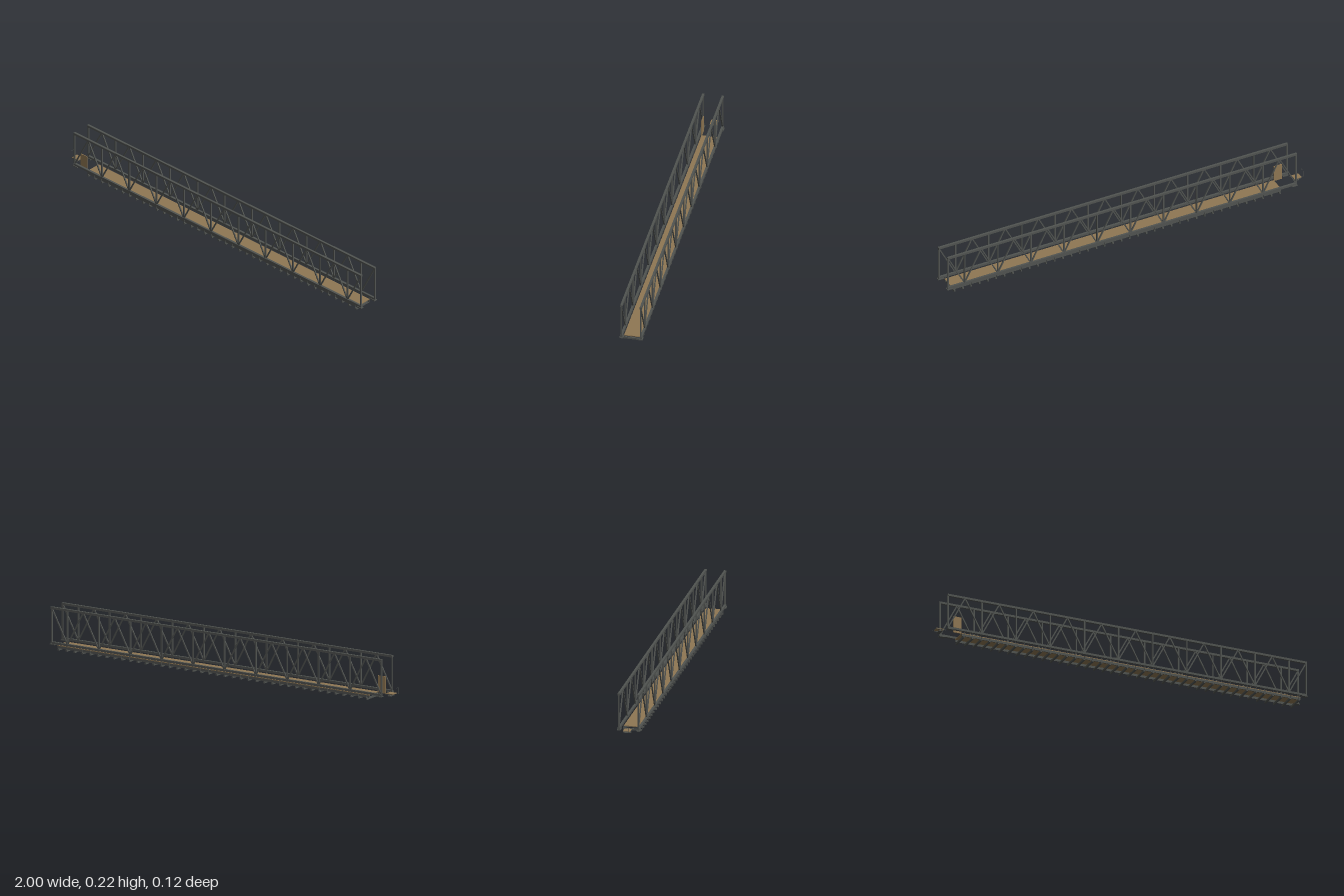
import * as THREE from 'three';

export function createModel() {
  const model = new THREE.Group();
  const steel = new THREE.MeshStandardMaterial({ color: 0x505350 });
  const wood = new THREE.MeshStandardMaterial({ color: 0x8f7753 });

  // Box given by its min and max corners
  function box(name, [x0, y0, z0], [x1, y1, z1], mat = steel, parent = model) {
    const mesh = new THREE.Mesh(new THREE.BoxGeometry(x1 - x0, y1 - y0, z1 - z0), mat);
    mesh.position.set((x0 + x1) / 2, (y0 + y1) / 2, (z0 + z1) / 2);
    mesh.name = name;
    parent.add(mesh);
    return mesh;
  }

  // Square bar in the xy plane between two points
  function bar(name, xa, ya, xb, yb, z, size, parent) {
    const mesh = new THREE.Mesh(
      new THREE.BoxGeometry(Math.hypot(xb - xa, yb - ya), size, size), steel);
    mesh.position.set((xa + xb) / 2, (ya + yb) / 2, z);
    mesh.rotation.z = Math.atan2(yb - ya, xb - xa);
    mesh.name = name;
    parent.add(mesh);
  }

  // Side trusses
  const start = -0.94, end = 0.993, bays = 21;
  const step = (end - start) / bays;
  const low = 0.036, high = 0.212;
  for (const side of [1, -1]) {
    const truss = new THREE.Group();
    truss.name = side > 0 ? 'frontTruss' : 'backTruss';
    model.add(truss);
    const z = side * 0.049;
    box('topChord', [start - 0.003, 0.207, z - 0.0055], [end + 0.003, 0.218, z + 0.0055], steel, truss);
    box('bottomChord', [start - 0.003, 0.03, z - 0.0055], [end + 0.003, 0.041, z + 0.0055], steel, truss);
    // Posts stand on the lower joints and at both ends
    for (let i = 0; i <= bays; i++) {
      const x = start + i * step;
      if (i % 2 === 0 || i === bays) bar('post', x, low, x, high, z, 0.007, truss);
      if (i < bays) {
        const rising = i % 2 === 0;
        bar('diagonal', x, rising ? low : high, x + step, rising ? high : low, z, 0.006, truss);
      }
    }
    // Bearing plates under the chord ends
    for (const x of [-0.93, 0.985]) {
      box('bearingPlate', [x - 0.015, 0.026, z - 0.009], [x + 0.015, 0.031, z + 0.009], steel, truss);
    }
  }

  // Walkway deck on two stringers
  const deckStart = -0.862, deckEnd = 0.965;
  box('deck', [deckStart, 0.021, -0.041], [deckEnd, 0.025, 0.041], wood);
  for (const z of [-0.039, 0.039]) {
    box('stringer', [deckStart, 0.009, z - 0.002], [deckEnd, 0.0215, z + 0.002]);
  }

  // Cross beams hung from the bottom chords
  const beams = 40;
  for (let i = 0; i < beams; i++) {
    const x = -0.852 + (i / (beams - 1)) * 1.807;
    box('crossBeam', [x - 0.004, 0, -0.048], [x + 0.004, 0.009, 0.048]);
    for (const z of [-0.048, 0.048]) {
      box('hanger', [x - 0.001, 0.006, z - 0.001], [x + 0.001, 0.031, z + 0.001]);
    }
  }

  // Upright board beside the entrance
  box('sideBoard', [-0.908, 0.02, 0.039], [-0.863, 0.107, 0.043], wood);

  // Small end step with its frame
  const endStep = new THREE.Group();
  endStep.name = 'endStep';
  model.add(endStep);
  box('stepBoard', [-0.987, 0.037, -0.018], [-0.948, 0.04, 0.018], wood, endStep);
  for (const z of [-0.017, 0.017]) {
    box('stepRail', [-0.985, 0.034, z - 0.0015], [-0.94, 0.037, z + 0.0015], steel, endStep);
    box('stepLeg', [-0.968, 0.026, z - 0.001], [-0.964, 0.035, z + 0.001], steel, endStep);
  }
  box('stepBase', [-0.974, 0.026, -0.018], [-0.955, 0.029, 0.018], steel, endStep);

  // Thin wire handle rising from the step
  const wire = new THREE.CurvePath();
  const points = [
    [-0.95, 0.036, 0.012], [-0.999, 0.036, 0.012], [-0.999, 0.069, 0.012],
    [-0.999, 0.069, -0.012], [-0.999, 0.036, -0.012], [-0.95, 0.036, -0.012],
  ].map((p) => new THREE.Vector3(...p));
  for (let i = 0; i < points.length - 1; i++) {
    wire.add(new THREE.LineCurve3(points[i], points[i + 1]));
  }
  const handle = new THREE.Mesh(new THREE.TubeGeometry(wire, 120, 0.0007, 5), steel);
  handle.name = 'handle';
  endStep.add(handle);

  return model;
}
